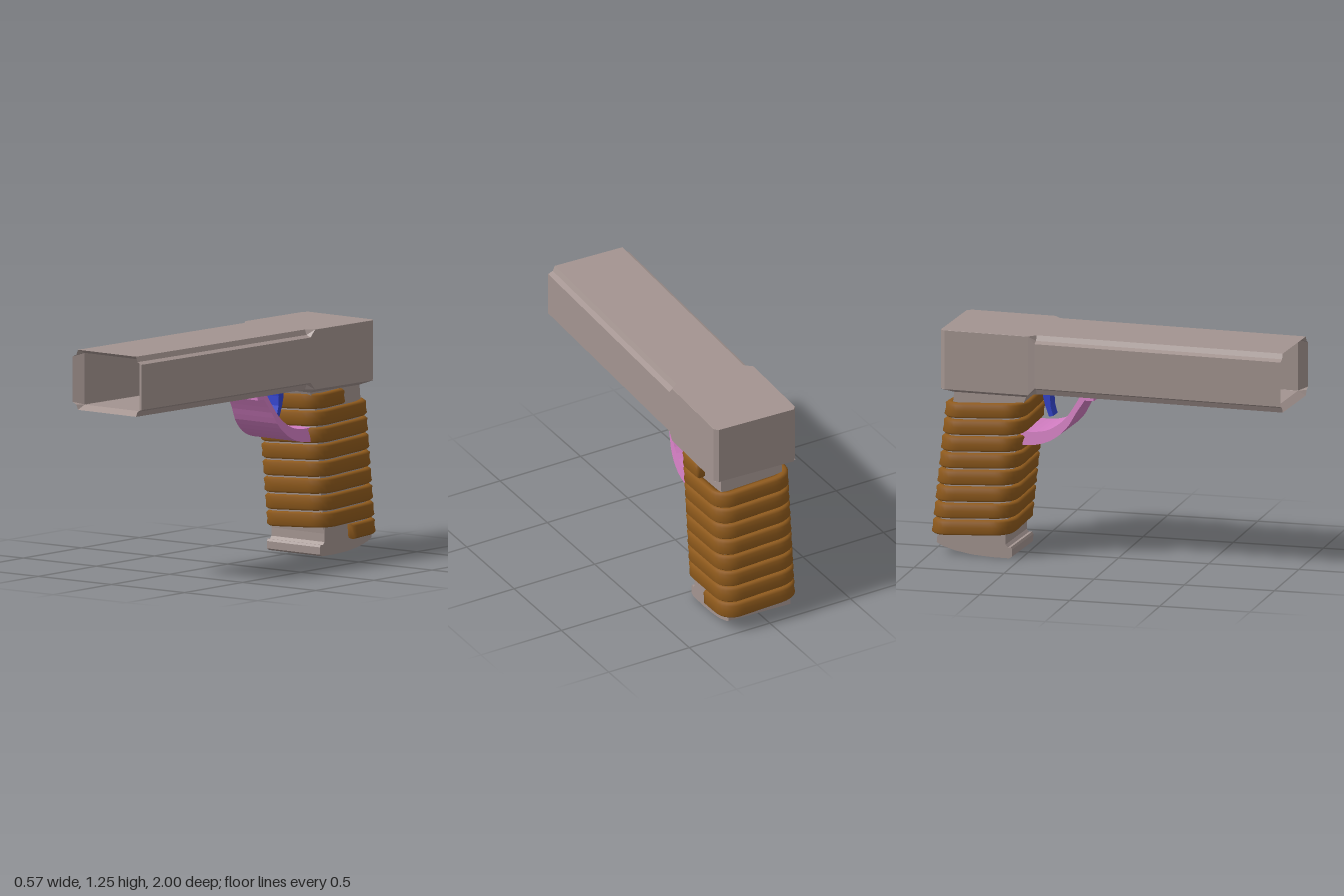
import * as THREE from 'three';

const mat = (color, flatShading = false) =>
  new THREE.MeshStandardMaterial({ color, flatShading, side: THREE.DoubleSide });

// Skin a list of equal-length rings of [x, y, z], with a fan cap on both ends.
function loft(rings) {
  const n = rings[0].length, pos = rings.flat(2), idx = [];
  for (let i = 0; i < rings.length - 1; i++) {
    for (let j = 0; j < n; j++) {
      const a = i * n + j, b = i * n + (j + 1) % n;
      idx.push(a, b, b + n, a, b + n, a + n);
    }
  }
  const e = (rings.length - 1) * n;
  for (let j = 1; j < n - 1; j++) idx.push(0, j + 1, j, e, e + j, e + j + 1);
  const g = new THREE.BufferGeometry();
  g.setAttribute('position', new THREE.Float32BufferAttribute(pos, 3));
  g.setIndex(idx);
  return g;
}

function flat(g) {
  const f = g.index ? g.toNonIndexed() : g;
  f.computeVertexNormals();
  return f;
}

// Extrude a [z, y] side profile across x, centred on x = 0.
function sideExtrude(points, width) {
  const shape = new THREE.Shape(points.map(p => new THREE.Vector2(...p)));
  const g = new THREE.ExtrudeGeometry(shape, { depth: width, bevelEnabled: false });
  return g.translate(0, 0, -width / 2).rotateY(-Math.PI / 2);
}

// Rectangle in the xy plane whose four corners are coved by c.
function covedRing(z, hw, y0, y1, c) {
  const ring = [], k = c * 0.7;
  const corners = [[1, 1], [-1, 1], [-1, -1], [1, -1]];
  corners.forEach(([sx, sy], i) => {
    const y = sy > 0 ? y1 : y0;
    const pts = [
      [sx * hw, y - sy * c, z],
      [sx * (hw - k), y - sy * k, z],
      [sx * (hw - c), y, z],
    ];
    ring.push(...(i % 2 ? pts.reverse() : pts));
  });
  return ring;
}

// Rectangle in the xz plane.
const flatRing = (y, hw, z0, z1) => [[-hw, y, z0], [hw, y, z0], [hw, y, z1], [-hw, y, z1]];

// Rounded band spiralling up around the slanted grip.
function wrapGeometry() {
  const turns = 8, steps = 72, half = 0.205, r = 0.075, k = half - r;
  const path = new THREE.Shape();
  path.moveTo(half, 0);
  path.lineTo(half, k);
  path.absarc(k, k, r, 0, Math.PI / 2);
  path.absarc(-k, k, r, Math.PI / 2, Math.PI);
  path.absarc(-k, -k, r, Math.PI, Math.PI * 1.5);
  path.absarc(k, -k, r, Math.PI * 1.5, Math.PI * 2);
  path.lineTo(half, 0);
  const loop = path.getSpacedPoints(steps);
  // Cross-section as [up, outward]
  const section = [[0.041, 0], [0.041, 0.018], [0.03, 0.031], [0, 0.027], [-0.03, 0.031],
    [-0.041, 0.018], [-0.041, 0], [-0.034, -0.025], [0.034, -0.025]];
  const rings = [];
  for (let i = 0; i <= turns * steps; i++) {
    const p = loop[i % steps];
    const before = loop[(i + steps - 1) % steps], after = loop[(i % steps) + 1];
    const t = after.clone().sub(before).normalize();
    const y = 0.115 + 0.742 * i / (turns * steps);
    rings.push(section.map(([up, out]) => {
      const h = y + up;
      const centre = -0.685 - 0.11 * (0.86 - h);
      return [p.x + t.y * out, h, centre - (p.y - t.x * out)];
    }));
  }
  const g = loft(rings);
  g.computeVertexNormals();
  return g;
}

export function createModel() {
  const model = new THREE.Group();
  model.name = 'handgun';
  const add = (name, geometry, material) => {
    const mesh = new THREE.Mesh(geometry, material);
    mesh.name = name;
    model.add(mesh);
    return mesh;
  };
  const body = mat(0xa39490, true);

  // Hollow slide: square rear block, coved barrel, bevelled mouth, deep bore
  add('slide', flat(loft([
    covedRing(-0.925, 0.228, 0.92, 1.245, 0.001),
    covedRing(-0.9, 0.247, 0.92, 1.245, 0.001),
    covedRing(-0.43, 0.247, 0.92, 1.245, 0.001),
    covedRing(-0.395, 0.245, 0.92, 1.245, 0.04),
    covedRing(0.987, 0.245, 0.92, 1.245, 0.04),
    covedRing(0.945, 0.195, 0.945, 1.225, 0.001),
    covedRing(-0.88, 0.195, 0.945, 1.225, 0.001),
  ])), body);

  // Tapered neck running into the slanted grip core
  add('gripCore', flat(loft([
    flatRing(0.921, 0.245, -0.43, -0.915),
    flatRing(0.895, 0.185, -0.46, -0.865),
    flatRing(0.8, 0.185, -0.5, -0.875),
    flatRing(0.12, 0.185, -0.575, -0.95),
  ])), body);

  // Grip foot with front lip and curved underside
  add('gripBase', flat(sideExtrude([
    [-0.575, 0.16], [-0.575, 0.075], [-0.562, 0.06], [-0.545, 0.062], [-0.538, 0.05],
    [-0.54, 0.01], [-0.555, 0], [-0.65, 0], [-0.76, 0.006], [-0.86, 0.022],
    [-0.93, 0.043], [-0.962, 0.06], [-0.952, 0.16],
  ], 0.375)), body);

  add('gripWrap', wrapGeometry(), mat(0x8f5a1c));

  // Trigger guard, widening toward the bottom
  const lower = new THREE.SplineCurve([[-0.5, 0.625], [-0.41, 0.632], [-0.32, 0.665],
    [-0.245, 0.73], [-0.195, 0.815], [-0.15, 0.885]].map(p => new THREE.Vector2(...p)));
  const upper = new THREE.SplineCurve([[-0.17, 0.921], [-0.205, 0.855], [-0.26, 0.775],
    [-0.34, 0.718], [-0.42, 0.7], [-0.5, 0.7]].map(p => new THREE.Vector2(...p)));
  const guard = sideExtrude([
    ...lower.getPoints(14).map(p => p.toArray()),
    [-0.1, 0.885], [-0.1, 0.921],
    ...upper.getPoints(14).map(p => p.toArray()),
  ], 2);
  const gp = guard.attributes.position;
  for (let i = 0; i < gp.count; i++) {
    gp.setX(i, gp.getX(i) * (0.122 + (0.92 - gp.getY(i)) * 0.165));
  }
  add('triggerGuard', flat(guard), mat(0xd07cc0, true));

  add('trigger', flat(sideExtrude([
    [-0.365, 0.925], [-0.372, 0.87], [-0.37, 0.82], [-0.355, 0.765],
    [-0.378, 0.76], [-0.4, 0.82], [-0.412, 0.87], [-0.415, 0.925],
  ], 0.08)), mat(0x3344cc, true));

  // The whole piece is turned slightly
  model.rotation.y = -0.042;
  return model;
}
